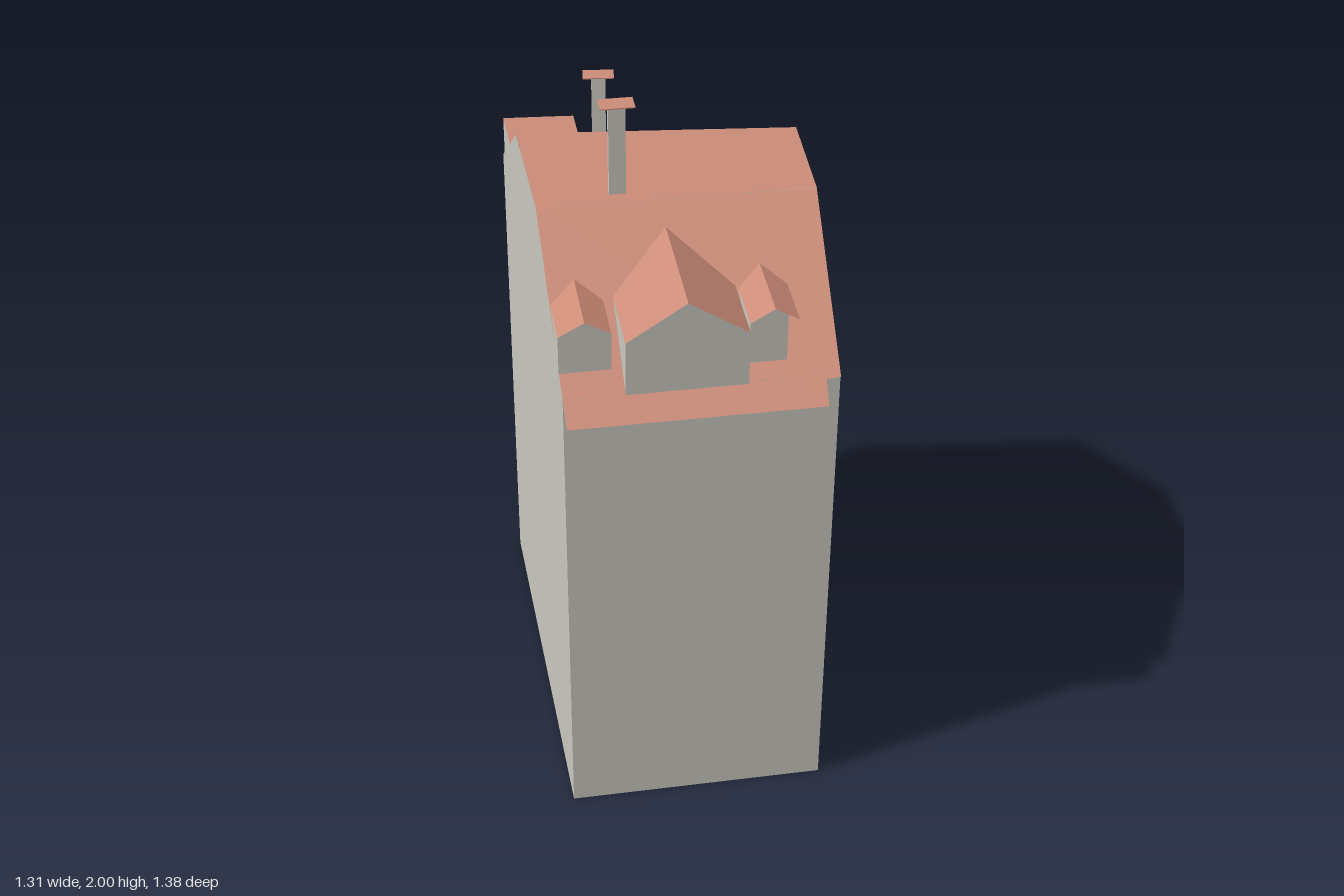
import * as THREE from 'three';
import { mergeGeometries } from 'three/addons/utils/BufferGeometryUtils.js';

const TOP = 1.735;
// Plan directions: along and out of the front wall, along and out of the back wall
const T = [0.804, -0.595], N = [0.595, 0.804];
const TB = [0.863, -0.505], NB = [-0.505, -0.863];

// Height of the two roof slopes over a plan point
const frontY = (x, z) => 1.38 + 0.7365 * (0.62 - x * N[0] - z * N[1]);
const backY = (x, z) => 1.455 + 0.763 * (0.585 - x * NB[0] - z * NB[1]);
const roofY = ([x, z]) => Math.min(TOP, frontY(x, z), backY(x, z));
const onRoof = (p) => [p[0], roofY(p), p[1]];

// Points on the two gable lines, given x
const gableL = (x) => [x, 0.69 + 1.288 * (x - 0.11)];
const gableR = (x) => [x, -0.13 + 1.444 * (x - 0.41)];

// Flat polygon as a triangle fan, counter-clockwise from its front
function face(...pts) {
  const pos = [];
  for (let i = 1; i < pts.length - 1; i++) pos.push(...pts[0], ...pts[i], ...pts[i + 1]);
  const g = new THREE.BufferGeometry();
  g.setAttribute('position', new THREE.Float32BufferAttribute(pos, 3));
  g.computeVertexNormals();
  return g;
}

export function createModel() {
  const model = new THREE.Group();
  model.name = 'house';
  const wall = new THREE.MeshStandardMaterial({ color: 0xc9c7bf, side: THREE.DoubleSide });
  wall.name = 'grey render';
  const tile = new THREE.MeshStandardMaterial({ color: 0xcc8c78, side: THREE.DoubleSide });
  tile.name = 'terracotta';

  const add = (name, material, faces, parent = model) => {
    const mesh = new THREE.Mesh(mergeGeometries(faces), material);
    mesh.name = name;
    parent.add(mesh);
    return mesh;
  };

  // Walls: plan outline raised to the roof, with a projecting rear corner pier
  const ridge = { fl: gableL(-0.19), bl: gableL(-0.43), fr: gableR(0.41), br: gableR(0.23) };
  const plan = [
    gableL(0.07), gableR(0.645), ridge.fr, ridge.br, gableR(0.05),
    [-0.609, -0.265], [-0.626, -0.294], gableL(-0.645), ridge.bl, ridge.fl,
  ];
  const walls = plan.map((a, i) => {
    const b = plan[(i + 1) % plan.length];
    return face([a[0], 0, a[1]], [b[0], 0, b[1]], onRoof(b), onRoof(a));
  });
  walls.push(face(...plan.map(([x, z]) => [x, 0, z]).reverse()));
  add('walls', wall, walls);

  // Main roof: front slope with notched eave, flat top, back slope
  const { fl, fr, bl, br } = ridge;
  add('frontSlope', tile, [face(...[fl, [0.11, 0.69], [0.652, 0.29], [0.62, 0.24], gableR(0.65), fr].map(onRoof))]);
  add('flatTop', tile, [face(...[fl, fr, br, bl].map(([x, z]) => [x, TOP, z]))]);
  add('backSlope', tile, [face(...[br, gableR(0.022), gableL(-0.655), bl].map(onRoof))]);

  // Gabled dormer: s runs along the front wall, d inward from the eave
  function dormer(name, s0, s1, d, eave, peak, inset = 0) {
    const P = (s, dd, y) => [s * T[0] + (0.62 - dd) * N[0], y, s * T[1] + (0.62 - dd) * N[1]];
    const depth = (y) => (y - 1.38) / 0.7365;
    const base = 1.38 + 0.7365 * d, mid = (s0 + s1) / 2, w1 = s1 - inset;
    const yw = peak - (peak - eave) * (w1 - mid) / (s1 - mid);
    const group = new THREE.Group();
    group.name = name;
    model.add(group);
    add('dormerWalls', wall, [
      face(P(s0, d, base), P(w1, d, base), P(w1, d, yw), P(mid, d, peak), P(s0, d, eave)),
      face(P(s0, d, base), P(s0, d, eave), P(s0, depth(eave), eave)),
      face(P(w1, d, base), P(w1, depth(yw), yw), P(w1, d, yw)),
    ], group);
    add('dormerRoof', tile, [
      face(P(s0, d, eave), P(mid, d, peak), P(mid, depth(peak), peak), P(s0, depth(eave), eave)),
      face(P(s1, d, eave), P(s1, depth(eave), eave), P(mid, depth(peak), peak), P(mid, d, peak)),
    ], group);
  }
  dormer('largeDormer', -0.163, 0.155, 0.063, 1.585, 1.69);
  dormer('rightSmallDormer', -0.326, -0.19, 0.121, 1.58, 1.618);
  dormer('leftSmallDormer', 0.163, 0.291, 0.108, 1.58, 1.618, 0.03);

  // Flat-topped back dormer, flush with the gable
  const a = gableL(-0.62), b = [-0.45, -0.355], c = [-0.36, -0.235], e = gableL(-0.53);
  const b2 = [b[0] - 0.02 * TB[0], b[1] - 0.02 * TB[1]];
  const c2 = [c[0] - 0.02 * TB[0], c[1] - 0.02 * TB[1]];
  const up = ([x, z]) => [x, 1.609, z];
  add('backDormerRoof', tile, [face(up(a), up(e), up(c), up(b))]);
  add('backDormerWalls', wall, [
    face(onRoof(b2), onRoof(a), up(a), up(b2)),
    face(onRoof(a), up(e), up(a)),
    face(onRoof(b2), up(b2), up(c2)),
  ]);

  // Chimneys: slim shaft under a wider thin cap
  function chimney(name, x, z, top, shaft, cap, dir) {
    const group = new THREE.Group();
    group.name = name;
    group.position.set(x, 0, z);
    group.rotation.y = Math.atan2(-dir[1], dir[0]);
    const stack = new THREE.Mesh(new THREE.BoxGeometry(shaft[0], top - 1.65, shaft[1]), wall);
    stack.name = 'shaft';
    stack.position.y = (top + 1.65) / 2 - 0.002;
    const lid = new THREE.Mesh(new THREE.BoxGeometry(cap[0], 0.003, cap[1]), tile);
    lid.name = 'cap';
    lid.position.y = top - 0.0015;
    group.add(stack, lid);
    model.add(group);
  }
  chimney('frontChimney', -0.042, 0.135, 2, [0.045, 0.018], [0.092, 0.054], T);
  chimney('backChimney', -0.246, -0.139, 1.9, [0.038, 0.012], [0.084, 0.046], TB);

  return model;
}
